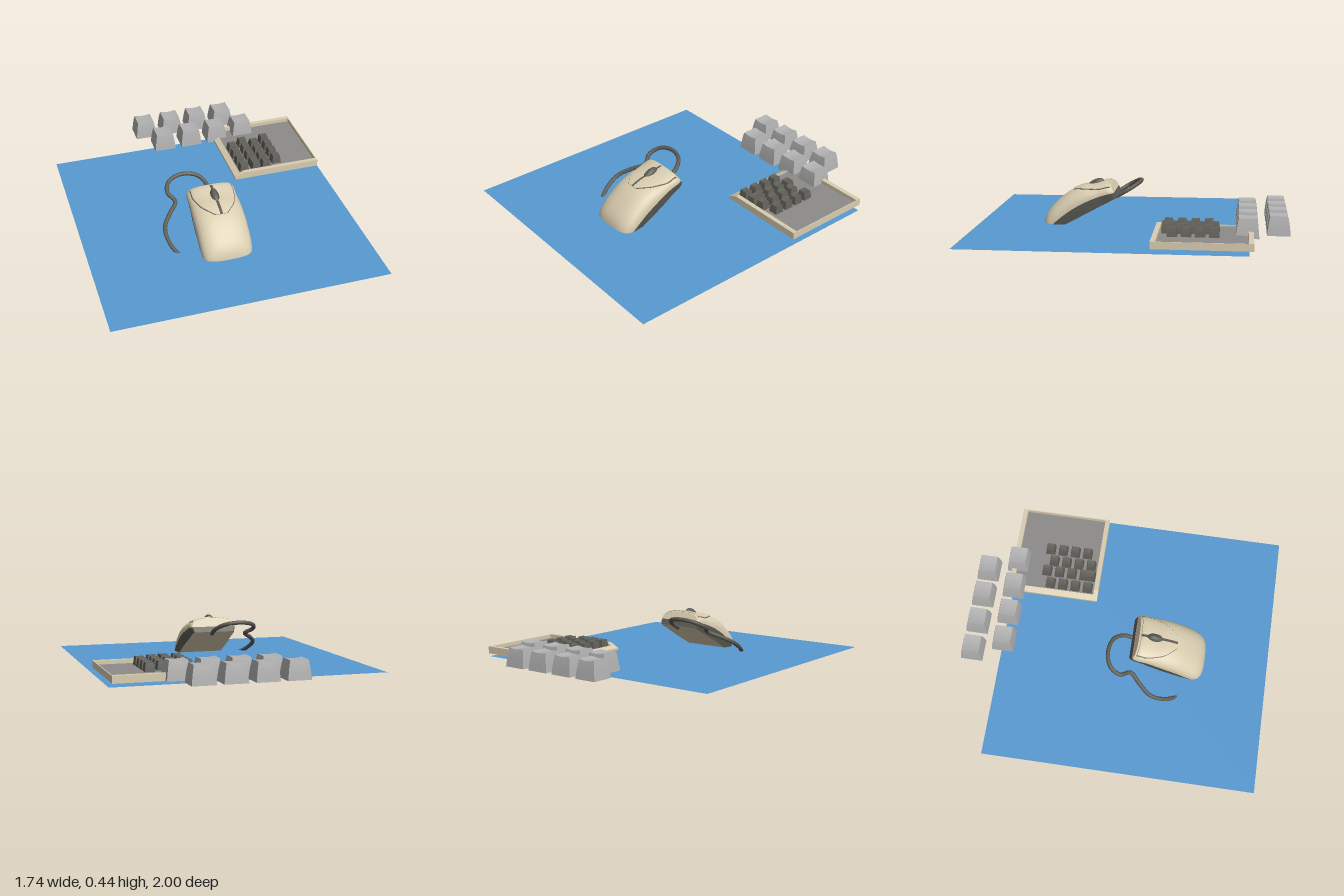
import * as THREE from 'three';
import { toCreasedNormals } from 'three/addons/utils/BufferGeometryUtils.js';

const mat = (name, color, side = THREE.FrontSide) => {
  const m = new THREE.MeshStandardMaterial({ color, side });
  m.name = name;
  return m;
};

// Surface through rows of points
function loft(rows, crease = 0.7) {
  const n = rows[0].length, pos = [], idx = [];
  rows.forEach(r => r.forEach(p => pos.push(...p)));
  for (let i = 0; i < rows.length - 1; i++)
    for (let j = 0; j < n - 1; j++) {
      const a = i * n + j, b = a + n;
      idx.push(a, a + 1, b, b, a + 1, b + 1);
    }
  const g = new THREE.BufferGeometry();
  g.setAttribute('position', new THREE.Float32BufferAttribute(pos, 3));
  g.setIndex(idx);
  g.computeVertexNormals();
  return toCreasedNormals(g, crease);
}

// Tapered keycap with a dished top, standing on y = 0
function keycap(w, h, d, inset, dish) {
  const g = new THREE.BoxGeometry(w, h, d, 6, 3, 1);
  const p = g.attributes.position;
  for (let i = 0; i < p.count; i++) {
    const t = p.getY(i) / h + 0.5, x = p.getX(i), s = inset * (0.75 * t + 0.25 * t ** 4);
    const dip = t > 0.99 ? dish * (1 - (2 * x / w) ** 2) : 0;
    p.setXYZ(i, x * (1 - 2 * s / w), t * h - dip, p.getZ(i) * (1 - 2 * s / d));
  }
  g.computeVertexNormals();
  return g;
}

export function createModel() {
  const root = new THREE.Group();
  const beige = mat('beige plastic', 0xd9cdb0, THREE.DoubleSide);
  const dark = mat('dark plastic', 0x5c5a53, THREE.DoubleSide);
  const blue = mat('blue mat', 0x5899d2, THREE.DoubleSide);
  const panelGrey = mat('panel grey', 0x8c8b8a);
  const keyGrey = mat('light key grey', 0xb2b2b3);
  const keyDark = mat('dark key grey', 0x62615a);
  const add = (parent, name, geo, material, x = 0, y = 0, z = 0) => {
    const m = new THREE.Mesh(geo, material);
    m.name = name;
    m.position.set(x, y, z);
    parent.add(m);
    return m;
  };

  // Desk mat
  add(root, 'deskMat', new THREE.PlaneGeometry(1.74, 1.75).rotateX(-Math.PI / 2), blue, 0, 0.16, 0.125);

  // Mouse: half-width, height and distance from the nose at each station
  const mouse = new THREE.Group();
  mouse.name = 'mouse';
  mouse.position.set(-0.021, 0.335, 0.11);
  mouse.rotation.x = 0.493;
  root.add(mouse);
  const stations = [
    [0.145, 0.100, -0.010], [0.155, 0.112, 0.010], [0.157, 0.132, 0.09], [0.162, 0.157, 0.16],
    [0.165, 0.168, 0.24], [0.165, 0.165, 0.30], [0.163, 0.135, 0.42], [0.152, 0.104, 0.475],
    [0.125, 0.058, 0.515], [0.085, 0.020, 0.532],
  ];
  const curve = new THREE.CatmullRomCurve3(stations.map(s => new THREE.Vector3(...s)));
  const secs = curve.getPoints(72);
  const seam = u => 0.041 + 0.27 * u - 0.62 * u * u;
  const P = 2.5, N = 48;
  const shellRow = (W, H, u) => {
    const s = seam(u), h = Math.max(H - s, 0);
    return Array.from({ length: N + 1 }, (_, j) => {
      const c = Math.cos(Math.PI * j / N), q = Math.max(Math.sin(Math.PI * j / N), 0);
      return [Math.sign(c) * W * Math.abs(c) ** (2 / P), s + h * q ** (2 / P), u];
    });
  };
  const ends = [new THREE.Vector3(0, 0, secs[0].z), ...secs, new THREE.Vector3(0, 0, 0.535)];
  add(mouse, 'mouseShell', loft(ends.map(p => shellRow(p.x, p.y, p.z))), beige);

  // Mouse base: two dark flanks and the underside
  const flank = side => loft(ends.map(p => {
    const s = Math.max(seam(p.z), 0.006);
    const r = [[side * p.x, s, p.z], [side * p.x * 0.975, s * 0.6, p.z], [side * p.x * 0.92, 0, p.z]];
    return side < 0 ? r : r.reverse();
  }));
  add(mouse, 'mouseFlankLeft', flank(1), dark);
  add(mouse, 'mouseFlankRight', flank(-1), dark);
  add(mouse, 'mouseUnderside', loft(ends.map(p => [[-p.x * 0.92, 0, p.z], [p.x * 0.92, 0, p.z]])), beige);

  // Height of the shell above the base
  const surface = (x, u) => {
    const i = Math.max(1, secs.findIndex(p => p.z >= u));
    const a = secs[i - 1], b = secs[i], t = THREE.MathUtils.clamp((u - a.z) / (b.z - a.z), 0, 1);
    const W = a.x + (b.x - a.x) * t, H = a.y + (b.y - a.y) * t, s = seam(u);
    return s + (H - s) * Math.max(0, 1 - (Math.abs(x) / W) ** P) ** (1 / P);
  };
  const outline = new THREE.SplineCurve([
    [0.132, 0], [0.134, 0.06], [0.122, 0.11], [0.097, 0.17], [0.035, 0.235],
  ].map(p => new THREE.Vector2(...p))).getPoints(24);
  // Patch lying on the shell, raised by lift, with turned-down edges
  const patch = (inner, outer, lift) => {
    const row = (k, u, drop) => {
      const pts = [], x0 = inner(k), x1 = outer(k);
      for (let j = -1; j <= 17; j++) {
        const x = x1 + (x0 - x1) * THREE.MathUtils.clamp(j / 16, 0, 1);
        pts.push([x, surface(x, u) + (drop || j < 0 || j > 16 ? -0.004 : lift), u]);
      }
      return pts;
    };
    const rows = outline.map((p, k) => row(k, p.y, false));
    return loft([row(0, outline[0].y, true), ...rows, row(24, outline[24].y, true)]);
  };
  const edge = k => outline[k].x;
  for (const s of [1, -1]) {
    const side = s > 0 ? 'Left' : 'Right';
    const inn = k => s * 0.009, out = k => s * edge(k);
    add(mouse, 'button' + side, s > 0 ? patch(inn, out, 0.006) : patch(out, inn, 0.006), beige);
    const gapIn = k => 0, gapOut = k => s * (edge(k) + 0.005);
    add(mouse, 'buttonGap' + side, s > 0 ? patch(gapIn, gapOut, 0.002) : patch(gapOut, gapIn, 0.002), dark);
  }
  const wheel = add(mouse, 'scrollWheel', new THREE.SphereGeometry(1, 28, 18), dark, 0, 0.128, 0.095);
  wheel.scale.set(0.028, 0.033, 0.06);

  // Cord, lying in the same slanted plane as the mouse base
  const cord = [
    [-0.01, 0.12], [-0.015, 0.05], [-0.06, -0.012], [-0.16, -0.035], [-0.25, -0.005], [-0.28, 0.06],
    [-0.245, 0.125], [-0.30, 0.19], [-0.35, 0.26], [-0.355, 0.33], [-0.32, 0.42], [-0.2, 0.538],
    [-0.08, 0.61], [0.04, 0.656], [0.12, 0.668], [0.17, 0.64], [0.178, 0.59], [0.15, 0.50],
  ].map(([x, z]) => new THREE.Vector3(x, 0.415 - 0.5625 * (z + 0.04), z));
  add(root, 'cord', new THREE.TubeGeometry(new THREE.CatmullRomCurve3(cord), 140, 0.0135, 10), dark);
  for (const p of [cord[0], cord[cord.length - 1]])
    add(root, 'cordEnd', new THREE.SphereGeometry(0.0135, 10, 8), dark, p.x, p.y, p.z);

  // Keyboard tray with rims on the sides
  const tray = new THREE.Group();
  tray.name = 'keyboardTray';
  root.add(tray);
  const box = (name, x0, x1, y0, y1, z0, z1, m) => add(tray, name,
    new THREE.BoxGeometry(x1 - x0, y1 - y0, z1 - z0), m, (x0 + x1) / 2, (y0 + y1) / 2, (z0 + z1) / 2);
  box('trayFloor', 0.262, 0.853, 0.185, 0.198, -0.77, -0.182, beige);
  box('trayPanel', 0.29, 0.848, 0.198, 0.206, -0.75, -0.2, panelGrey);
  box('rightRim', 0.849, 0.855, 0.186, 0.23, -0.77, -0.182, beige);
  const profile = new THREE.Shape([[0.26, 0.185], [0.855, 0.185], [0.855, 0.231], [0.325, 0.231], [0.26, 0.2]]
    .map(p => new THREE.Vector2(...p)));
  for (const [name, z] of [['frontRim', -0.206], ['backRim', -0.775]])
    add(tray, name, new THREE.ExtrudeGeometry(profile, { depth: 0.03, bevelEnabled: false }), beige, 0, 0, z);
  const lip = new THREE.Shape([[0.26, 0.185], [0.297, 0.185], [0.297, 0.217], [0.26, 0.2]]
    .map(p => new THREE.Vector2(...p)));
  add(tray, 'sideRim', new THREE.ExtrudeGeometry(lip, { depth: 0.57, bevelEnabled: false }), beige, 0, 0, -0.76);

  // Small dark keys in staggered columns, one of them tall
  const small = keycap(0.064, 0.056, 0.064, 0.008, 0.003);
  const tall = keycap(0.064, 0.056, 0.108, 0.008, 0.003);
  [[0.34, -0.503], [0.425, -0.54], [0.5, -0.503], [0.585, -0.54]].forEach(([x, z], c) => {
    for (let r = 0; r < 4; r++) {
      const isTall = c === 1 && r === 3;
      add(tray, 'smallKey', isTall ? tall : small, keyDark, x, 0.205, isTall ? -0.265 : z + r * 0.084);
    }
  });

  // Two rows of large loose keycaps
  const large = keycap(0.147, 0.118, 0.143, 0.017, 0.007);
  for (const [x0, z] of [[-0.19, -0.929], [-0.099, -0.739]])
    for (let i = 0; i < 4; i++) add(root, 'largeKeycap', large, keyGrey, x0 + i * 0.1905, 0.187, z);

  return root;
}
